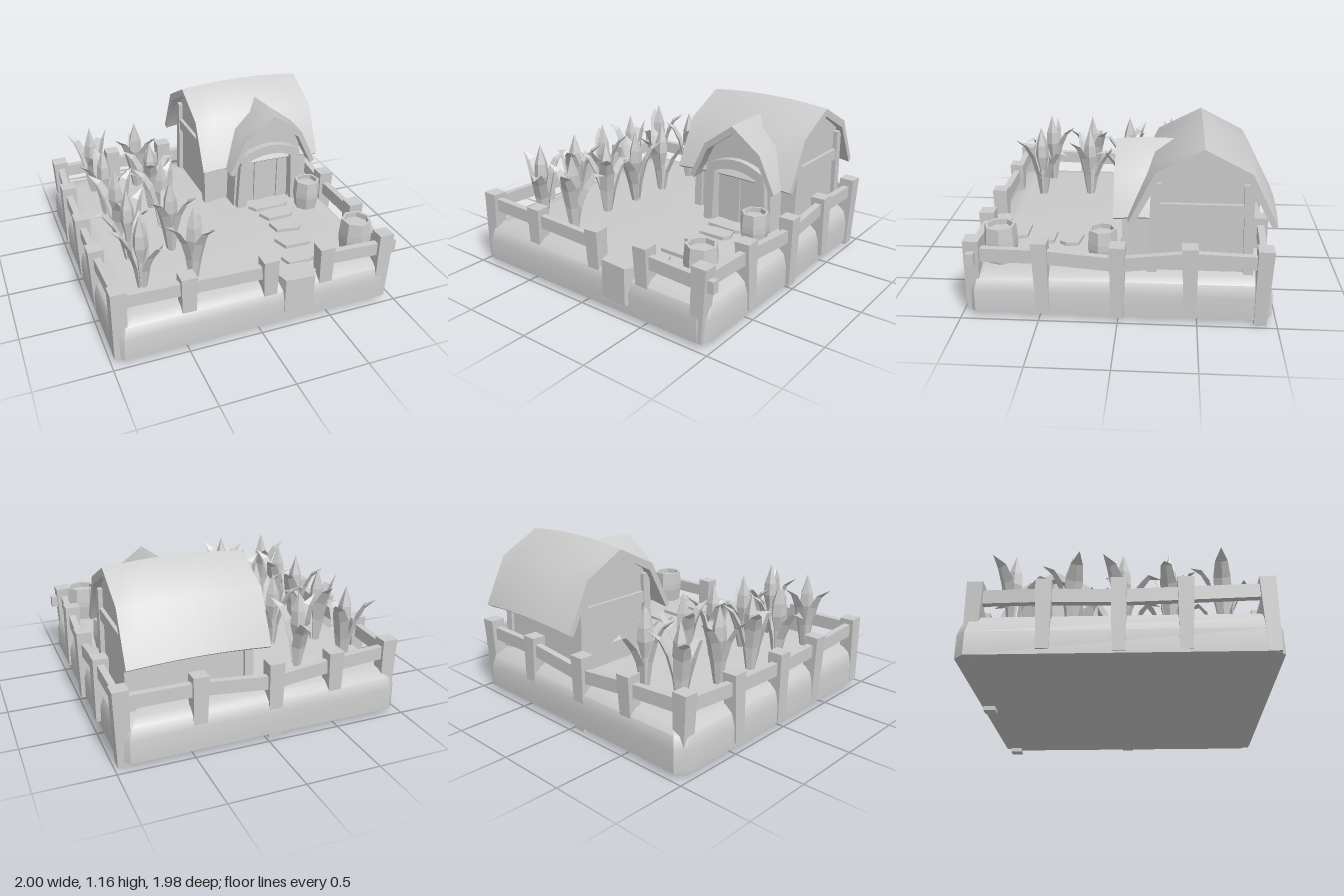
import * as THREE from 'three';
import { toCreasedNormals } from 'three/addons/utils/BufferGeometryUtils.js';

const smooth = new THREE.MeshStandardMaterial({ color: 0xcccccc });
const flat = new THREE.MeshStandardMaterial({ color: 0xcccccc, flatShading: true });
const thin = new THREE.MeshStandardMaterial({ color: 0xcccccc, flatShading: true, side: THREE.DoubleSide });

function add(parent, name, geometry, material = flat) {
  const mesh = new THREE.Mesh(geometry, material);
  mesh.name = name;
  parent.add(mesh);
  return mesh;
}

// Box running from a to b
function beam(parent, name, a, b, width, height) {
  const from = new THREE.Vector3(...a), to = new THREE.Vector3(...b);
  const mesh = add(parent, name, new THREE.BoxGeometry(width, height, from.distanceTo(to)));
  mesh.position.copy(from).lerp(to, 0.5);
  mesh.lookAt(to);
  return mesh;
}

function polygon(points) {
  return new THREE.Shape(points.map(([x, y]) => new THREE.Vector2(x, y)));
}

// Half profile (eave to apex) mirrored to the other side
function mirrored(half) {
  return [...half, ...half.slice(0, -1).reverse().map(([x, y]) => [-x, y])];
}

// Extrusion centred on its depth
function extrude(shape, depth, steps = 1) {
  const g = new THREE.ExtrudeGeometry(shape, { depth, steps, bevelEnabled: false, curveSegments: 8 });
  return g.translate(0, 0, -depth / 2);
}

// Thick bent roof; outer and inner are half profiles from eave to apex
function roofGeometry(outer, inner, depth, bulge) {
  const g = extrude(polygon([...mirrored(outer), ...mirrored(inner).reverse()]), depth, 6);
  const p = g.attributes.position;
  for (let i = 0; i < p.count; i++) {
    const k = 1 - (2 * p.getZ(i) / depth) ** 2;
    p.setXY(i, p.getX(i) * (1 + bulge * k), p.getY(i) + bulge * k * 0.7);
  }
  return toCreasedNormals(g, 0.7);
}

// Stacked rings of equal point count, closed by fans
function loft(rings) {
  const n = rings[0].length, pos = rings.flat(2), index = [];
  for (let r = 0; r < rings.length - 1; r++) {
    for (let i = 0; i < n; i++) {
      const a = r * n + i, b = r * n + (i + 1) % n;
      index.push(a, a + n, b, b, a + n, b + n);
    }
  }
  const top = (rings.length - 1) * n;
  for (let i = 1; i < n - 1; i++) index.push(0, i, i + 1, top, top + i + 1, top + i);
  const g = new THREE.BufferGeometry();
  g.setAttribute('position', new THREE.Float32BufferAttribute(pos, 3));
  g.setIndex(index);
  return toCreasedNormals(g, 0.7);
}

// Irregular flat stone
function stone(parent, name, x, z, width, depth, bottom, top, turn) {
  const pts = [[-0.5, -0.3], [-0.2, -0.5], [0.42, -0.42], [0.5, 0.15], [0.36, 0.5], [-0.38, 0.42]];
  const g = extrude(polygon(pts.map(([u, v]) => [u * width, -v * depth])), top - bottom).rotateX(-Math.PI / 2);
  const mesh = add(parent, name, g);
  mesh.position.set(x, (top + bottom) / 2, z);
  mesh.rotation.y = turn;
}

// Folded leaf along a path of [radius, height, half width]
function leafGeometry(path) {
  const pos = [], index = [];
  path.forEach(([r, y, w], i) => {
    pos.push(r, y, -w, r + w * 0.35, y - w * 0.35, 0, r, y, w);
    if (i === 0) return;
    const a = (i - 1) * 3;
    for (const k of [a, a + 1]) index.push(k, k + 1, k + 3, k + 1, k + 4, k + 3);
  });
  const g = new THREE.BufferGeometry();
  g.setAttribute('position', new THREE.Float32BufferAttribute(pos, 3));
  g.setIndex(index);
  g.computeVertexNormals();
  return g;
}

function buildGround(root) {
  const ring = (s, y) => {
    const c = s - 0.06;
    return [[s, c], [c, s], [-c, s], [-s, c], [-s, -c], [-c, -s], [c, -s], [s, -c]].map(([x, z]) => [x - 0.005, y, z]);
  };
  const levels = [[0.97, 0.03], [0.97, 0.18], [0.95, 0.26], [0.9, 0.305], [0.8, 0.32]];
  add(root, 'ground', loft(levels.map(([s, y]) => ring(s, y))), smooth);
  // Path to the door and the gate step
  [[0.47, 0.045, 0.3, 0.08, 0], [0.48, 0.17, 0.25, 0.13, 0.1], [0.47, 0.34, 0.22, 0.14, -0.1],
    [0.44, 0.53, 0.25, 0.16, 0.05], [0.38, 0.72, 0.24, 0.15, 3.2]]
    .forEach(([x, z, w, d, t]) => stone(root, 'pathStone', x, z, w, d, 0.3, 0.345, t));
  stone(root, 'gateStep', 0.27, 0.9, 0.27, 0.18, 0.1, 0.355, 0);
}

function buildHouse(root) {
  const house = new THREE.Group();
  house.name = 'house';
  root.add(house);
  // Main body, its gables facing left and right
  const body = extrude(polygon(mirrored([[-0.31, 0.3], [-0.29, 0.92], [0, 1.1]])), 0.78);
  add(house, 'walls', body.rotateY(Math.PI / 2)).position.set(0.465, 0, -0.51);
  const roof = roofGeometry([[-0.455, 0.65], [-0.29, 0.98], [0, 1.13]], [[-0.425, 0.63], [-0.265, 0.935], [0, 1.075]], 0.92, 0.04);
  add(house, 'mainRoof', roof.rotateY(Math.PI / 2), smooth).position.set(0.45, 0, -0.515);
  // Timber on the gables
  for (const x of [0.075, 0.855]) {
    beam(house, 'gableBeam', [x, 0.73, -0.82], [x, 0.73, -0.2], 0.05, 0.08);
    for (const s of [-1, 1]) {
      beam(house, 'cornerPost', [x, 0.3, -0.51 + s * 0.3], [x, 0.9, -0.51 + s * 0.28], 0.06, 0.06);
    }
  }
  // Porch with an arched doorway
  const front = polygon(mirrored([[-0.27, 0.3], [-0.25, 0.83], [0, 1.01]]));
  const arch = new THREE.Path();
  arch.moveTo(-0.18, 0.31);
  arch.lineTo(0.18, 0.31);
  arch.lineTo(0.19, 0.67);
  arch.quadraticCurveTo(0, 0.79, -0.19, 0.67);
  front.holes.push(arch);
  add(house, 'porchWall', extrude(front, 0.16)).position.set(0.5, 0, -0.14);
  const porchRoof = roofGeometry([[-0.34, 0.65], [-0.22, 0.9], [0, 1.06]], [[-0.31, 0.63], [-0.195, 0.865], [0, 1.005]], 0.46, 0.015);
  add(house, 'porchRoof', porchRoof, smooth).position.set(0.5, 0, -0.195);
  // Door planks
  for (let i = 0; i < 4; i++) {
    add(house, 'doorPlank', new THREE.BoxGeometry(0.09, 0.46, 0.03)).position.set(0.36 + i * 0.093, 0.54, -0.11 + (i % 2) * 0.008);
  }
  // Door frame: posts and bowed lintel
  for (const s of [-1, 1]) beam(house, 'doorPost', [0.5 + s * 0.22, 0.32, -0.05], [0.5 + s * 0.2, 0.72, -0.05], 0.07, 0.07);
  const lintel = new THREE.Shape();
  lintel.moveTo(-0.23, 0.67);
  lintel.quadraticCurveTo(0, 0.81, 0.23, 0.67);
  lintel.lineTo(0.23, 0.74);
  lintel.quadraticCurveTo(0, 0.88, -0.23, 0.74);
  add(house, 'doorLintel', extrude(lintel, 0.06)).position.set(0.5, 0, -0.04);
}

function buildFence(root) {
  const fence = new THREE.Group();
  fence.name = 'fence';
  root.add(fence);
  // Posts in order from the gate round to the gate: x, z, bottom, rail height, lean
  const posts = [[0.47, 0.91, 0.1, 0.42, 0.02], [0.9, 0.92, 0.03, 0.41, -0.03], [0.93, 0.48, 0.06, 0.42, 0.03],
    [0.95, 0, 0.03, 0.39, 0], [0.95, -0.45, 0.08, 0.44, 0.02], [0.94, -0.9, 0, 0.42, -0.02],
    [0.45, -0.92, 0.07, 0.43, 0.02], [-0.06, -0.92, 0, 0.38, 0], [-0.49, -0.91, 0.05, 0.42, -0.02],
    [-0.91, -0.88, 0.03, 0.43, 0.02], [-0.94, -0.45, 0.06, 0.42, -0.02], [-0.94, 0, 0.04, 0.41, 0],
    [-0.94, 0.4, 0.05, 0.42, 0.02], [-0.93, 0.9, 0.03, 0.44, -0.02], [-0.48, 0.9, 0.05, 0.43, 0],
    [0.07, 0.91, 0.1, 0.42, 0.02]];
  posts.forEach(([x, z, bottom, rail, lean], i) => {
    const h = 0.52 - bottom, g = new THREE.BoxGeometry(0.105, h, 0.1), p = g.attributes.position;
    for (let k = 0; k < p.count; k++) {
      if (p.getY(k) < 0) p.setXYZ(k, p.getX(k) * 0.8, p.getY(k), p.getZ(k) * 0.8);
    }
    const post = add(fence, 'fencePost', g);
    post.position.set(x, bottom + h / 2, z);
    post.rotation.set(lean, 0, lean);
    const next = posts[i + 1];
    if (next) beam(fence, 'fenceRail', [x, rail, z], [next[0], next[3], next[1]], 0.045, 0.09);
  });
  // Rail ends poking through the corners
  beam(fence, 'railEnd', [0.9, 0.41, 0.915], [0.998, 0.41, 0.915], 0.05, 0.08);
  beam(fence, 'railEnd', [0.9, 0.4, -0.9], [0.985, 0.4, -0.9], 0.05, 0.07);
}

function buildBarrels(root) {
  const profile = [[0, 0], [0.09, 0], [0.106, 0.1], [0.106, 0.14], [0.098, 0.235], [0.08, 0.235], [0.08, 0.2], [0, 0.2]];
  for (const [x, z, s] of [[0.75, 0.11, 0.93], [0.785, 0.76, 1.04]]) {
    const g = new THREE.LatheGeometry(profile.map(([r, y]) => new THREE.Vector2(r, y)), 7);
    const barrel = add(root, 'barrel', g, thin);
    barrel.position.set(x, 0.32, z);
    barrel.rotation.y = x * 9;
    barrel.scale.setScalar(s);
  }
}

function buildCrops(root) {
  const long = leafGeometry([[0.02, 0, 0.025], [0.04, 0.16, 0.05], [0.09, 0.28, 0.052], [0.16, 0.37, 0.035], [0.245, 0.35, 0]]);
  const upright = leafGeometry([[0.02, 0, 0.025], [0.035, 0.18, 0.05], [0.07, 0.32, 0.055], [0.12, 0.41, 0.04], [0.2, 0.46, 0]]);
  const budProfile = [[0.015, 0], [0.025, 0.2], [0.052, 0.31], [0.045, 0.4], [0, 0.54]];
  const bud = new THREE.LatheGeometry(budProfile.map(([r, y]) => new THREE.Vector2(r, y)), 5);
  // x, z, turn of the longest leaf in degrees
  const plants = [[-0.7, -0.68, 90], [-0.36, -0.65, -80], [-0.69, -0.31, 34], [-0.35, -0.28, -23], [-0.69, 0.02, 90],
    [-0.36, 0.02, 79], [-0.69, 0.32, 190], [-0.39, 0.31, -83], [-0.7, 0.65, 55], [-0.36, 0.68, -63]];
  for (const [x, z, turn] of plants) {
    const plant = new THREE.Group();
    plant.name = 'cropPlant';
    plant.position.set(x, 0.315, z);
    plant.rotation.y = -THREE.MathUtils.degToRad(turn);
    add(plant, 'bud', bud, thin);
    add(plant, 'longLeaf', long, thin);
    for (const a of [2.25, -2.25]) add(plant, 'uprightLeaf', upright, thin).rotation.y = a;
    root.add(plant);
  }
}

export function createModel() {
  const root = new THREE.Group();
  root.name = 'farmPlot';
  buildGround(root);
  buildHouse(root);
  buildFence(root);
  buildBarrels(root);
  buildCrops(root);
  return root;
}
